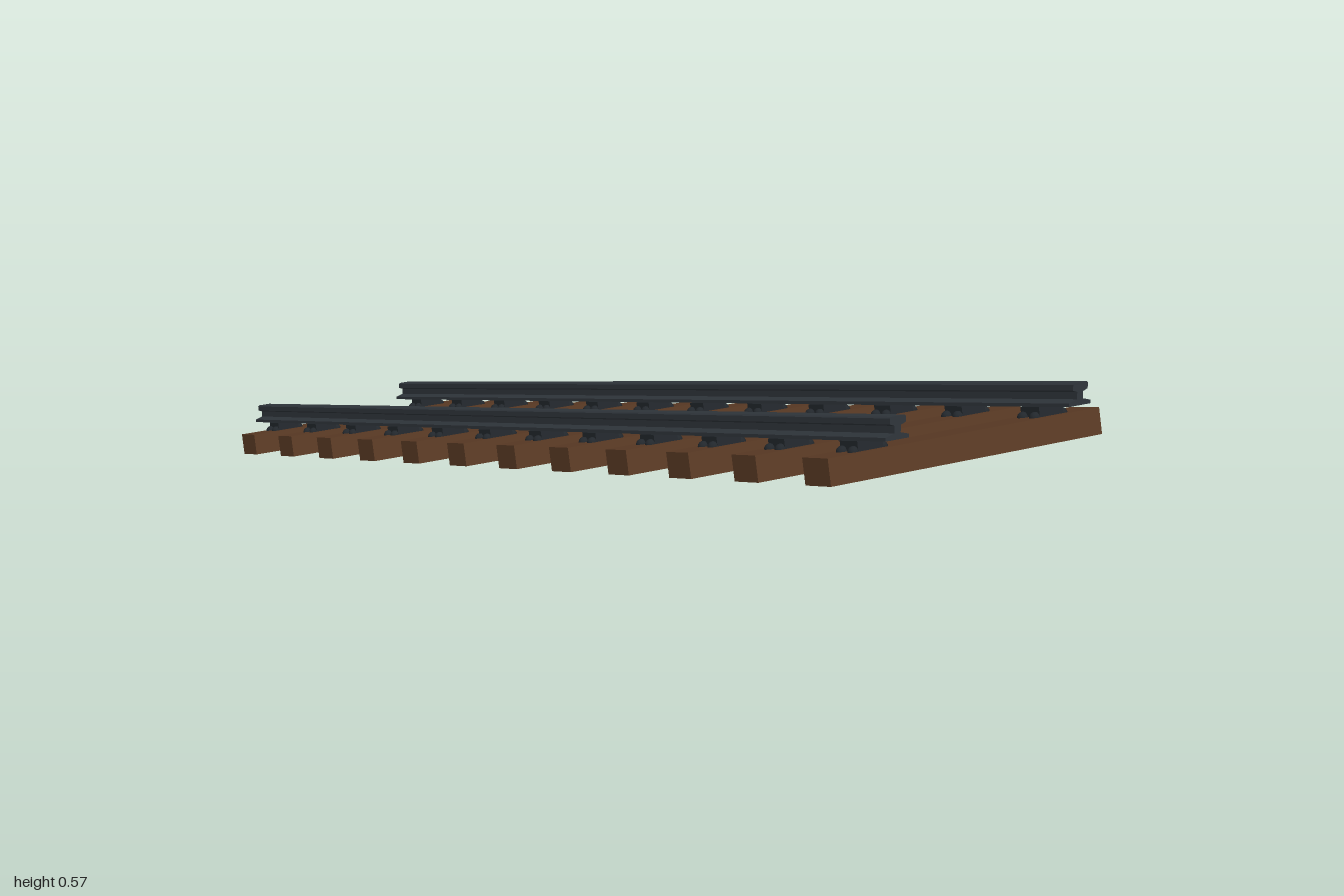
import * as THREE from 'three';

const SLOPE = 0.25;                 // rise per unit of z
const ANGLE = Math.atan(SLOPE);
const TIES = 12, RAIL_X = 0.15;

export function createModel() {
  const model = new THREE.Group();
  model.name = 'slopedTrack';
  const wood = new THREE.MeshStandardMaterial({ color: 0x5a3a24 });
  wood.name = 'brown wood';
  const steel = new THREE.MeshStandardMaterial({ color: 0x30363c });
  steel.name = 'dark steel';
  const iron = new THREE.MeshStandardMaterial({ color: 0x22272c });
  iron.name = 'fastener iron';

  function add(parent, name, geometry, material, x = 0, y = 0, z = 0) {
    const mesh = new THREE.Mesh(geometry, material);
    mesh.name = name;
    mesh.position.set(x, y, z);
    parent.add(mesh);
    return mesh;
  }

  // Rail: I-shaped section, sheared along the slope so its ends stay vertical
  const half = [[0.0185, 0], [0.0185, 0.005], [0.005, 0.009], [0.005, 0.019],
    [0.0125, 0.022], [0.0125, 0.030], [0.0105, 0.032]];
  const outline = [...half, ...half.map(([x, y]) => [-x, y]).reverse()];
  const section = new THREE.Shape(outline.map(([x, y]) => new THREE.Vector2(x, y)));
  const railGeo = new THREE.ExtrudeGeometry(section, { depth: 2, bevelEnabled: false });
  railGeo.translate(0, 0, -1);
  railGeo.applyMatrix4(new THREE.Matrix4().set(
    1, 0, 0, 0,
    0, 1, SLOPE, 0,
    0, 0, 1, 0,
    0, 0, 0, 1));
  railGeo.computeVertexNormals();
  for (const side of [-1, 1]) {
    add(model, side > 0 ? 'leftRail' : 'rightRail', railGeo, steel, side * RAIL_X, 0.285, 0);
  }

  // Crossties, each with two rail plates and domed bolts
  const tieGeo = new THREE.BoxGeometry(0.45, 0.037, 0.059);
  const plateGeo = new THREE.BoxGeometry(0.04, 0.014, 0.04);
  const boltGeo = new THREE.SphereGeometry(0.008, 10, 5, 0, Math.PI * 2, 0, Math.PI / 2);
  for (let i = 0; i < TIES; i++) {
    const tie = new THREE.Group();
    tie.name = 'tieAssembly';
    tie.position.set(0, 0.4837 - i * SLOPE / 6, 0.929 - i / 6);
    tie.rotation.x = -ANGLE;
    add(tie, 'crosstie', tieGeo, wood);
    for (const side of [-1, 1]) {
      add(tie, 'railPlate', plateGeo, iron, side * RAIL_X, 0.0253, 0);
      for (const dx of [-0.023, 0.023]) {
        for (const dz of [-0.013, 0.013]) {
          add(tie, 'bolt', boltGeo, iron, side * RAIL_X + dx, 0.0184, dz);
        }
      }
    }
    model.add(tie);
  }
  return model;
}
